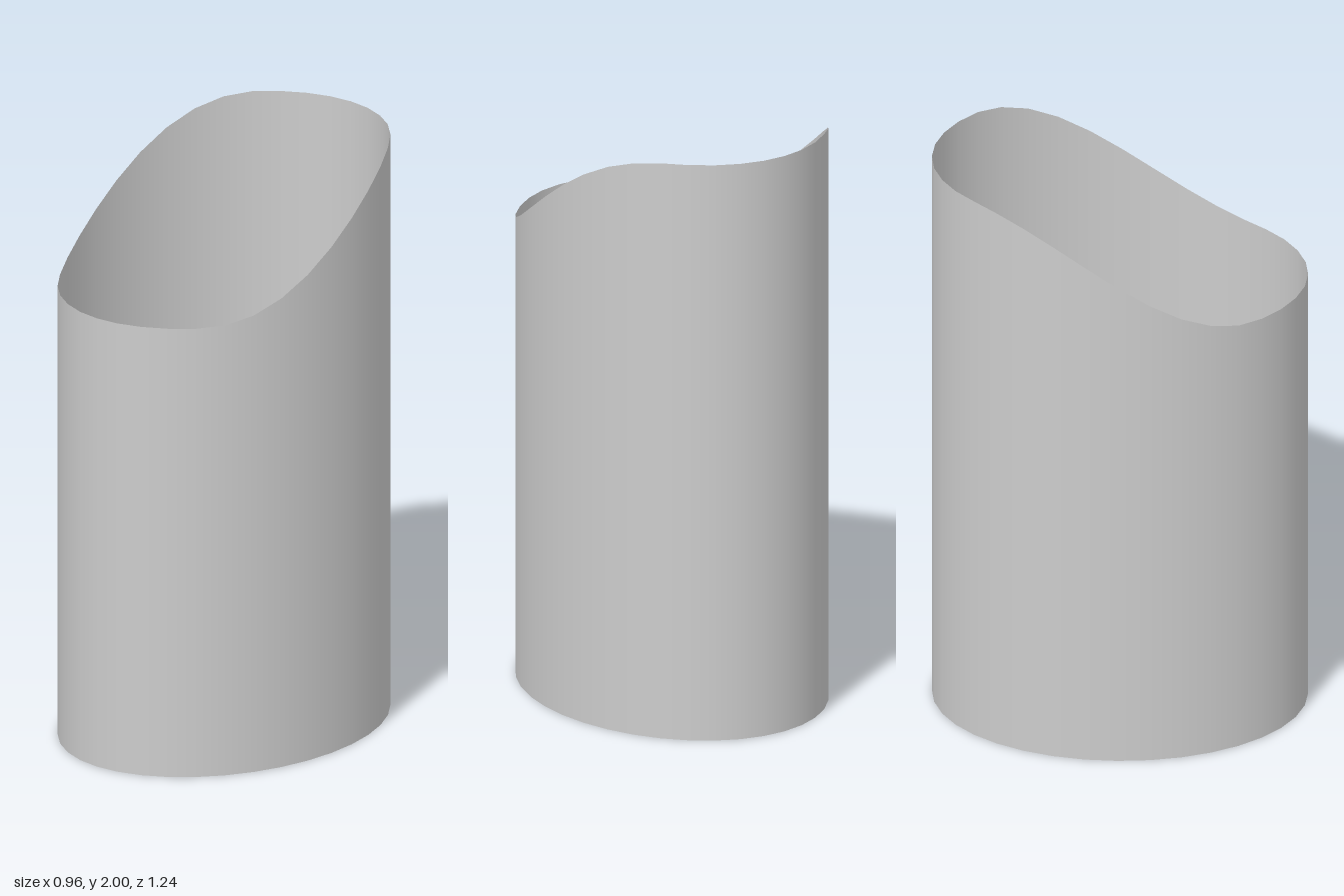
import * as THREE from 'three';

const HALF_WIDTH = 0.48, HALF_DEPTH = 0.62;
const LOW = 1.57, HIGH = 2;

// Rim height: low at the front, easing up to the back
const rimHeight = (z) => LOW + (HIGH - LOW) * (1 - THREE.MathUtils.smoothstep(z, -0.5, 0.46));

export function createModel() {
  const group = new THREE.Group();
  group.name = 'slantedSleeve';

  // Open elliptical tube of unit height, its upper ring raised to the curved rim
  const geometry = new THREE.CylinderGeometry(1, 1, 1, 36, 1, true);
  geometry.translate(0, 0.5, 0);
  geometry.scale(HALF_WIDTH, 1, HALF_DEPTH);
  const pos = geometry.attributes.position;
  for (let i = 0; i < pos.count; i++) {
    pos.setY(i, pos.getY(i) * rimHeight(pos.getZ(i)));
  }

  const wall = new THREE.Mesh(
    geometry,
    new THREE.MeshStandardMaterial({ color: 0xcccccc, side: THREE.DoubleSide })
  );
  wall.name = 'sleeveWall';
  group.add(wall);
  return group;
}
